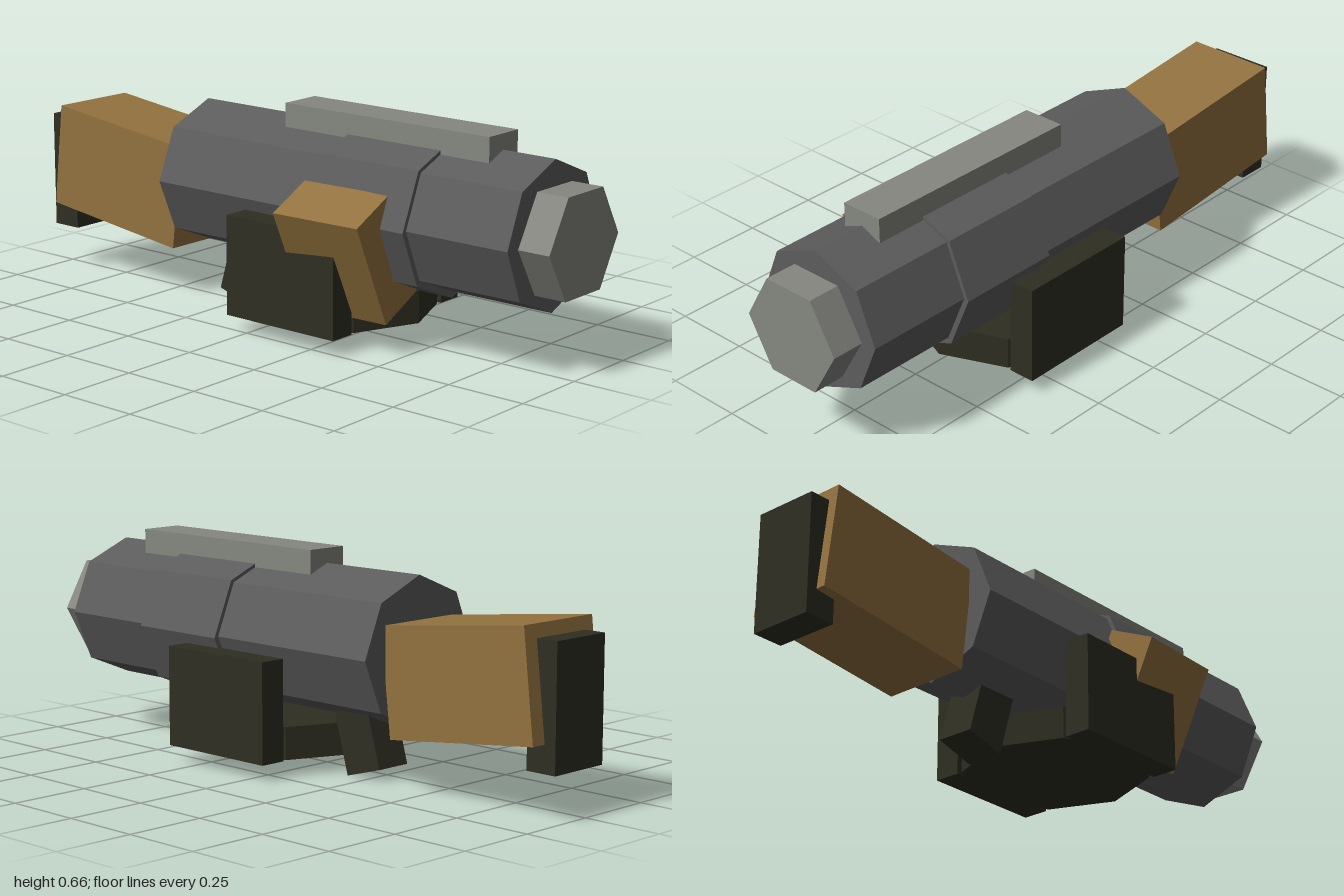
import * as THREE from 'three';

const paint = (name, color) => {
  const m = new THREE.MeshStandardMaterial({ color });
  m.name = name;
  return m;
};

export function createModel() {
  const group = new THREE.Group();
  const steel = paint('dark steel', 0x5c5c5d);
  const pale = paint('pale steel', 0x858780);
  const wood = paint('wood', 0x93723f);
  const olive = paint('black olive', 0x2e2e22);

  const add = (name, geometry, material, x, y, z) => {
    const mesh = new THREE.Mesh(geometry, material);
    mesh.name = name;
    mesh.position.set(x, y, z);
    group.add(mesh);
    return mesh;
  };
  const box = (name, material, size, pos) =>
    add(name, new THREE.BoxGeometry(...size), material, ...pos);
  // faceted prism lying along x from x0 to x1
  const prism = (name, material, sides, x0, x1, r0, r1, y, z) => {
    const g = new THREE.CylinderGeometry(r1, r0, x1 - x0, sides).toNonIndexed();
    g.rotateZ(-Math.PI / 2);
    g.computeVertexNormals();
    return add(name, g, material, (x0 + x1) / 2, y, z);
  };

  // barrel, its band and the muzzle
  prism('barrel', steel, 8, -0.405, 0.897, 0.226, 0.222, 0.395, -0.031);
  prism('barrelBand', steel, 8, 0.21, 0.55, 0.239, 0.239, 0.391, -0.031);
  prism('muzzle', pale, 6, 0.88, 1, 0.171, 0.171, 0.391, -0.03);
  box('topRail', pale, [0.75, 0.08, 0.137], [0.345, 0.625, -0.032]);

  // stock and butt plate
  box('stock', wood, [0.54, 0.33, 0.285], [-0.677, 0.355, -0.036]).rotation.set(0, -0.02, -0.115);
  box('buttPlate', olive, [0.1, 0.37, 0.205], [-0.95, 0.325, -0.033]);

  // eight-sided drum under the barrel with a plate on each side
  const drum = new THREE.CylinderGeometry(0.285, 0.285, 0.1, 8).toNonIndexed();
  drum.computeVertexNormals();
  add('drum', drum, olive, 0.145, 0.102, -0.03);
  for (const side of [1, -1])
    box(side > 0 ? 'frontPlate' : 'backPlate', olive, [0.41, 0.308, 0.085],
      [0.145, 0.205, -0.03 + side * 0.2575]);

  // slanted hand grips
  box('rearGrip', olive, [0.135, 0.3, 0.12], [-0.198, 0.164, -0.03]).rotation.z = -0.28;
  const foreGrip = box('foreGrip', wood, [0.3, 0.345, 0.165], [0.317, 0.291, 0.176]);
  foreGrip.rotation.set(0.43, 0.04, 0, 'YXZ');

  return group;
}
